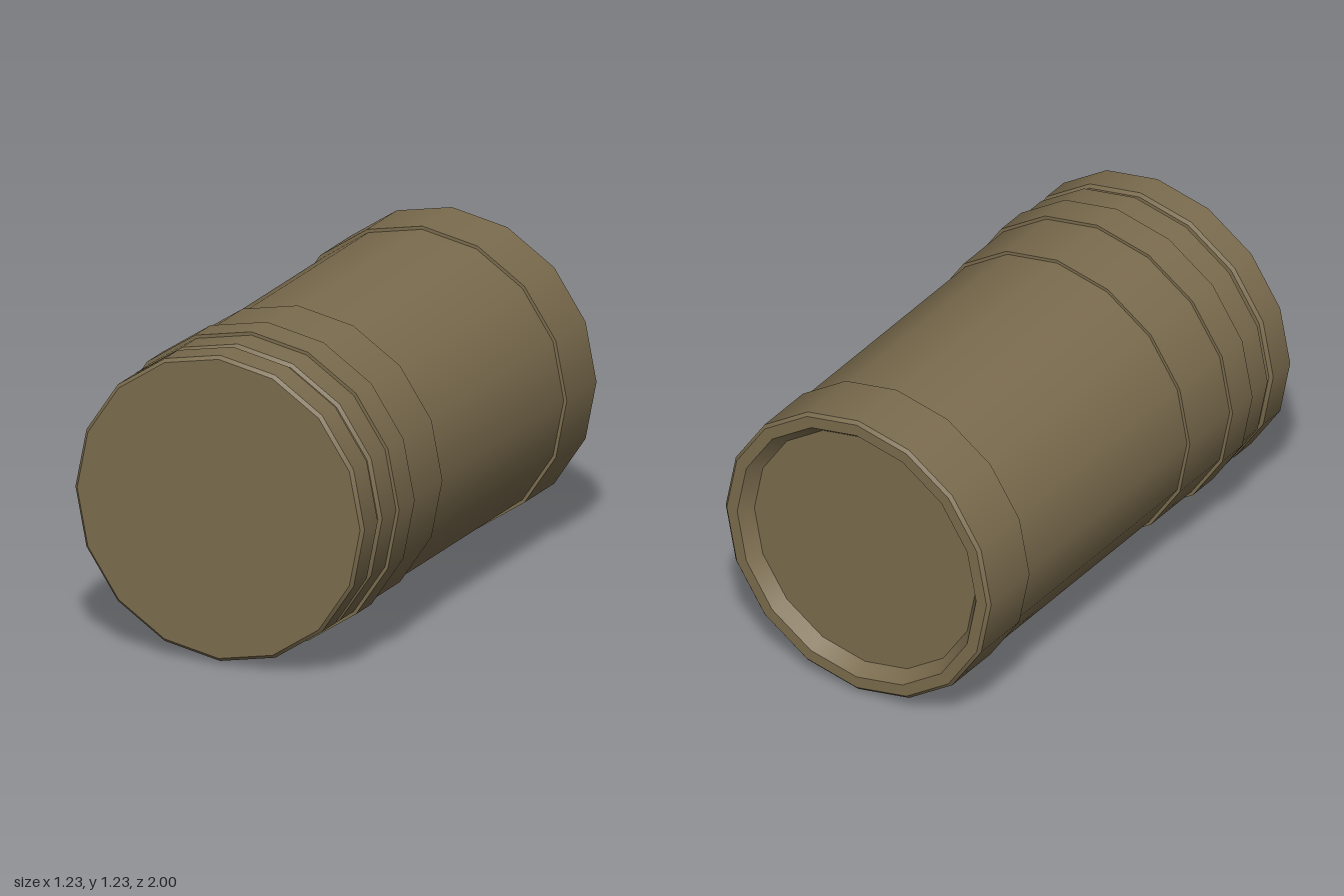
import * as THREE from 'three';
import { mergeGeometries } from 'three/addons/utils/BufferGeometryUtils.js';

const SIDES = 16;
const AXIS_Y = 0.613;

// Turns a [radius, z] profile about the z axis: smooth around, crisp at each profile corner.
function turned(profile) {
  const bands = [];
  for (let i = 0; i < profile.length - 1; i++) {
    const pair = [profile[i], profile[i + 1]].map(([r, z]) => new THREE.Vector2(r, z));
    bands.push(new THREE.LatheGeometry(pair, SIDES));
  }
  return mergeGeometries(bands).rotateX(Math.PI / 2);
}

export function createModel() {
  const group = new THREE.Group();
  group.name = 'canister';
  const olive = new THREE.MeshStandardMaterial({ color: 0x7b6c4e });
  olive.name = 'olive drab';

  function add(name, profile) {
    const mesh = new THREE.Mesh(turned(profile), olive);
    mesh.name = name;
    mesh.position.y = AXIS_Y;
    group.add(mesh);
  }

  // Rear collar with a chamfered rim and a shallow tapered recess
  add('rearCollar', [
    [0, -0.945], [0.5, -0.945], [0.54, -1], [0.587, -1], [0.6, -0.988],
    [0.6, -0.735], [0.587, -0.735],
  ]);

  // Long main barrel
  add('barrel', [[0.587, -0.735], [0.587, 0.325]]);

  // Front collar, chamfered towards the groove
  add('frontCollar', [
    [0.587, 0.325], [0.6, 0.325], [0.6, 0.838], [0.587, 0.848], [0.5, 0.848],
  ]);

  // Raised band around the front collar
  add('raisedBand', [[0.6, 0.588], [0.613, 0.588], [0.613, 0.72], [0.6, 0.72]]);

  // Recessed neck between collar and lid
  add('neck', [[0.5, 0.848], [0.5, 0.866]]);

  // Front lid with chamfered edges and a flat face
  add('lid', [
    [0.5, 0.866], [0.587, 0.866], [0.6, 0.876], [0.6, 0.988], [0.587, 1], [0, 1],
  ]);

  return group;
}
